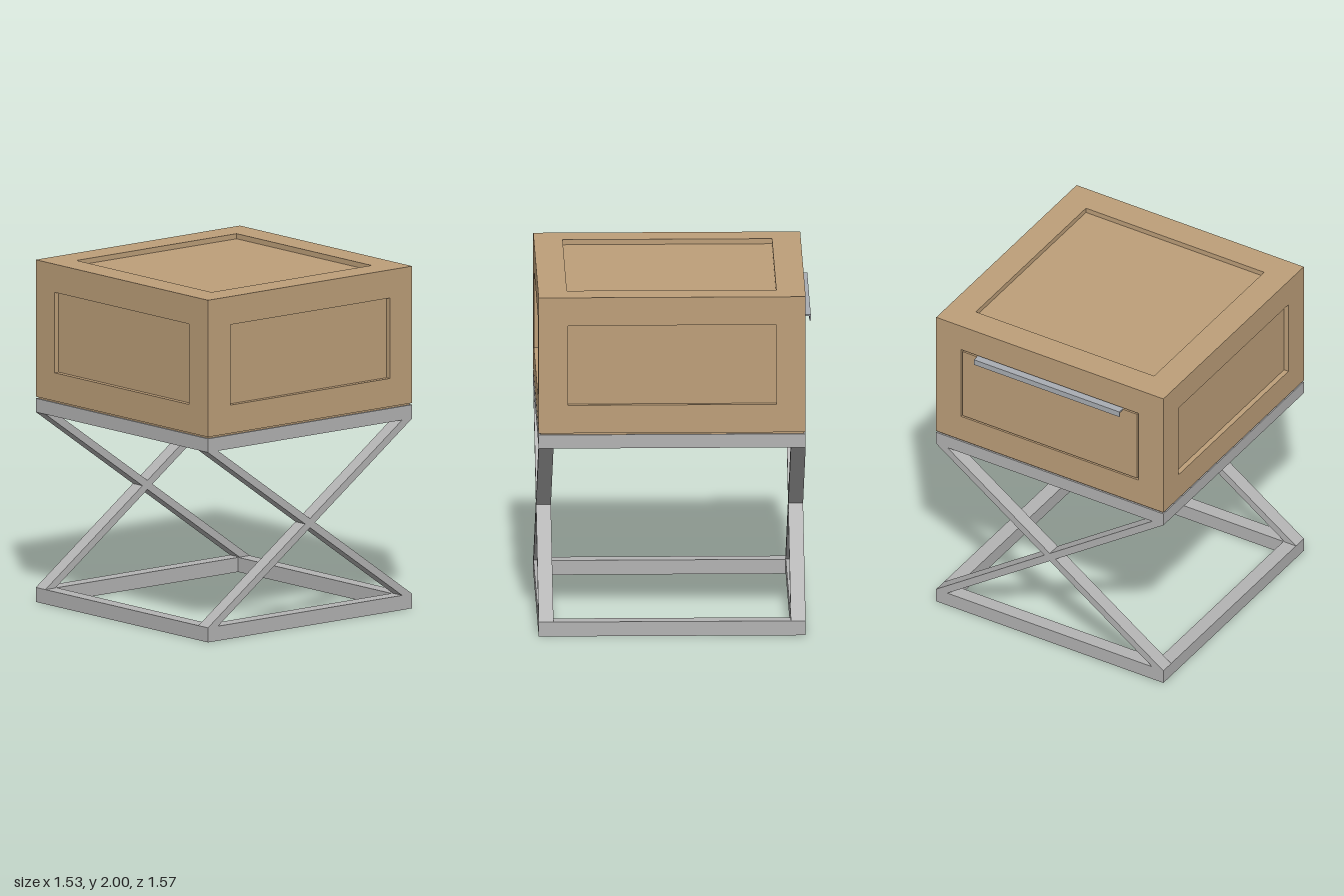
import * as THREE from 'three';

const HALF = 0.765;        // half width and half depth of cabinet and base
const LOW = 1.2, HIGH = 2; // cabinet bottom and top
const INSET = 0.03;        // panel recess depth

export function createModel() {
  const wood = new THREE.MeshStandardMaterial({ color: 0xbd9f79 });
  wood.name = 'wood';
  const steel = new THREE.MeshStandardMaterial({ color: 0xb3b3b3 });
  steel.name = 'steel';
  const handleMetal = new THREE.MeshStandardMaterial({ color: 0xa9adb3 });
  handleMetal.name = 'handleMetal';

  const model = new THREE.Group();
  model.name = 'sideTable';
  const body = new THREE.Group();
  body.position.z = 0.015;
  model.add(body);

  function add(name, geometry, material, x = 0, y = 0, z = 0) {
    const mesh = new THREE.Mesh(geometry, material);
    mesh.name = name;
    mesh.position.set(x, y, z);
    body.add(mesh);
    return mesh;
  }
  const box = (name, w, h, d, material, x, y, z) =>
    add(name, new THREE.BoxGeometry(w, h, d), material, x, y, z);

  const rect = (Type, w, h) => new Type([
    [-w, -h], [w, -h], [w, h], [-w, h],
  ].map(([x, y]) => new THREE.Vector2(x, y)));

  const extrude = (shape, depth) =>
    new THREE.ExtrudeGeometry(shape, { depth, bevelEnabled: false });

  // Flat rectangular frame from z = 0 to z = depth, sizes given as halves
  function frame(w, h, holeW, holeH, depth) {
    const shape = rect(THREE.Shape, w, h);
    shape.holes.push(rect(THREE.Path, holeW, holeH));
    return extrude(shape, depth);
  }

  // Horizontal frame standing on height y
  function flatFrame(name, w, d, holeW, holeD, height, y, material) {
    const geometry = frame(w, d, holeW, holeD, height).rotateX(-Math.PI / 2);
    return add(name, geometry, material, 0, y, 0);
  }

  // Cabinet core, whose faces form the recessed panels
  const midY = (LOW + HIGH) / 2;
  const inner = HALF - INSET;
  box('cabinetCore', inner * 2, HIGH - LOW - 0.06, inner * 2, wood, 0, midY, 0);

  // Raised borders on the four upright faces
  ['frontBorder', 'leftBorder', 'backBorder', 'rightBorder'].forEach((name, i) => {
    const w = i % 2 ? inner : HALF;
    const turn = i * Math.PI / 2;
    const border = add(name, frame(w, 0.4, 0.598, 0.235, INSET), wood,
      Math.sin(turn) * inner, midY, Math.cos(turn) * inner);
    border.rotation.y = turn;
  });

  // Borders above and below, and the narrow plinth over the base
  flatFrame('topBorder', inner, inner, 0.6, 0.6, INSET, HIGH - INSET, wood);
  flatFrame('bottomBorder', inner, inner, 0.68, 0.68, INSET, LOW, wood);
  flatFrame('plinth', 0.755, 0.755, 0.68, 0.68, 0.012, 1.189, wood);

  // Flush drawer front in the back opening, with a thin gap around it
  box('drawerFront', 1.176, 0.45, INSET, wood, 0, midY, -HALF + INSET / 2);

  // Hooked pull over the top edge of the drawer
  box('handleTop', 0.98, 0.009, 0.058, handleMetal, 0, 1.8215, -0.77);
  box('handleLip', 0.98, 0.035, 0.008, handleMetal, 0, 1.8085, -0.796);

  // Upper and lower rail frames
  flatFrame('lowerRails', HALF, HALF, 0.68, 0.68, 0.085, 0, steel);
  flatFrame('upperRails', HALF, HALF, 0.68, 0.68, 0.08, 1.11, steel);

  // Crossed legs at front and back
  const a = HALF, b = 0.69, t = 0.5125;
  const cross = new THREE.Shape([
    [-a, t], [-b, t], [0, 0.0265], [b, t], [a, t], [0.0375, 0],
    [a, -t], [b, -t], [0, -0.0265], [-b, -t], [-a, -t], [-0.0375, 0],
  ].map(([x, y]) => new THREE.Vector2(x, y)));
  add('frontCrossLegs', extrude(cross, 0.085), steel, 0, 0.5975, 0.68);
  add('backCrossLegs', extrude(cross, 0.085), steel, 0, 0.5975, -HALF);

  return model;
}
